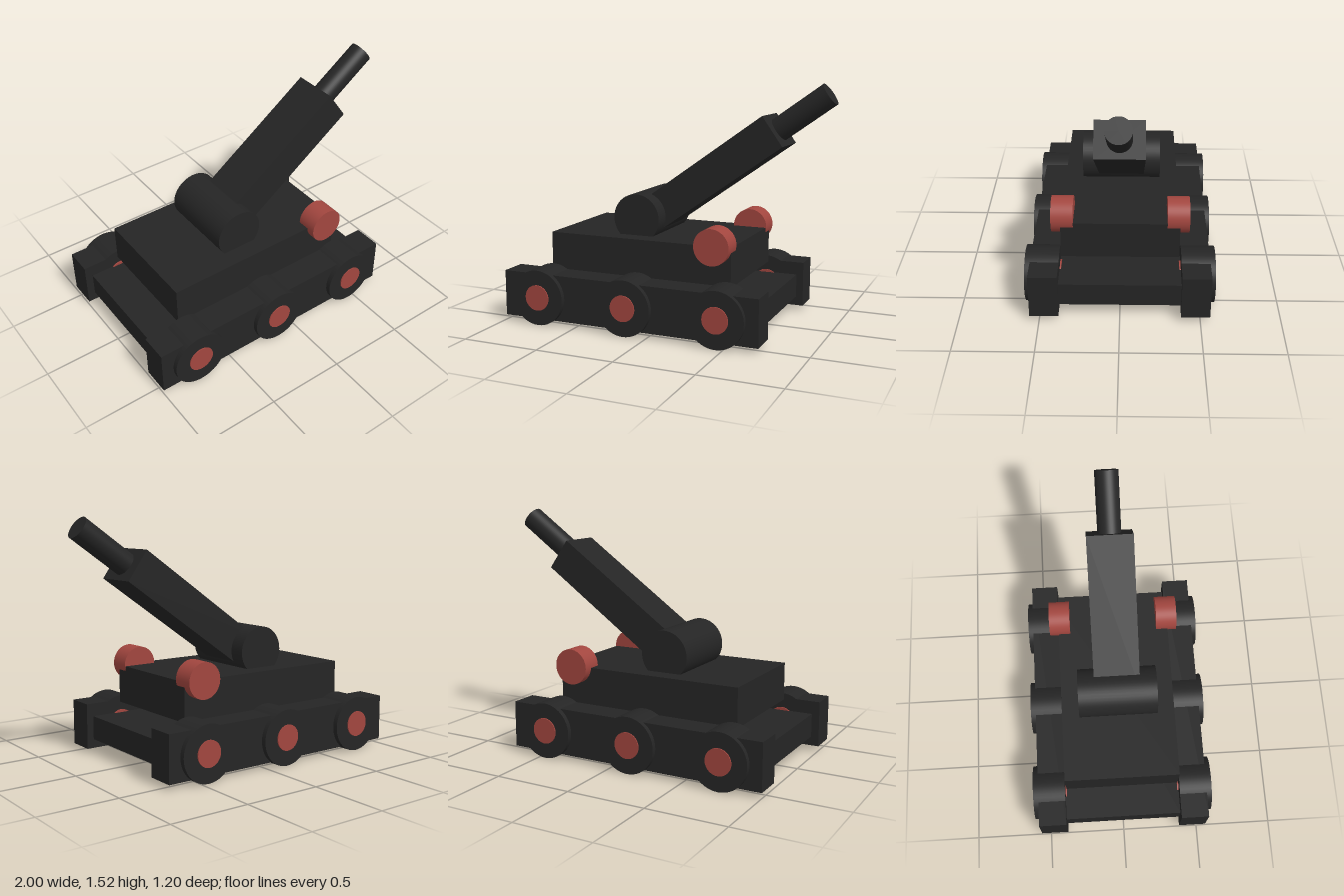
import * as THREE from 'three';

const dark = new THREE.MeshStandardMaterial({ color: 0x252525 });
dark.name = 'dark hull';
const red = new THREE.MeshStandardMaterial({ color: 0xa2463f });
red.name = 'red accent';

export function createModel() {
  const model = new THREE.Group();
  model.name = 'mobileCannon';

  const add = (name, geometry, material, x, y, z, parent = model) => {
    const mesh = new THREE.Mesh(geometry, material);
    mesh.name = name;
    mesh.position.set(x, y, z);
    parent.add(mesh);
    return mesh;
  };
  const box = (w, h, d) => new THREE.BoxGeometry(w, h, d);
  // Cylinder lying along z
  const drum = (r, length) => new THREE.CylinderGeometry(r, r, length, 48).rotateX(Math.PI / 2);

  // Chassis plate and the body floating just above it
  add('chassis', box(1.615, 0.152, 0.76), dark, -0.143, 0.166, 0);
  add('body', box(1.23, 0.246, 0.74), dark, -0.145, 0.438, 0);

  for (const [side, s] of [['left', 1], ['right', -1]]) {
    // Track block with three wheels and hubs
    add(side + 'Track', box(1.71, 0.294, 0.18), dark, -0.145, 0.179, s * 0.47);
    [-0.745, -0.145, 0.455].forEach((x, i) => {
      add(side + 'Wheel' + (i + 1), drum(0.1775, 0.212), dark, x, 0.1775, s * 0.486);
      add(side + 'Hub' + (i + 1), drum(0.082, 0.228), red, x, 0.1785, s * 0.485);
    });
    // Round lamp on the body's shoulder
    add(side + 'Lamp', drum(0.113, 0.137), red, 0.363, 0.566, s * 0.36);
  }

  // Pivot drum
  add('pivot', drum(0.156, 0.507), dark, -0.211, 0.668, 0);

  // Raised gun, built along its own x axis with the origin at the barrel's mouth
  const gun = new THREE.Group();
  gun.name = 'gun';
  gun.position.set(0.642, 1.241, 0);
  gun.rotation.z = THREE.MathUtils.degToRad(35.3);
  model.add(gun);
  add('barrel', box(1.0, 0.223, 0.294), dark, -0.5, 0, 0, gun);
  add('muzzle', new THREE.CylinderGeometry(0.075, 0.075, 0.484, 48).rotateZ(Math.PI / 2), dark, 0.142, 0, 0, gun);

  return model;
}
